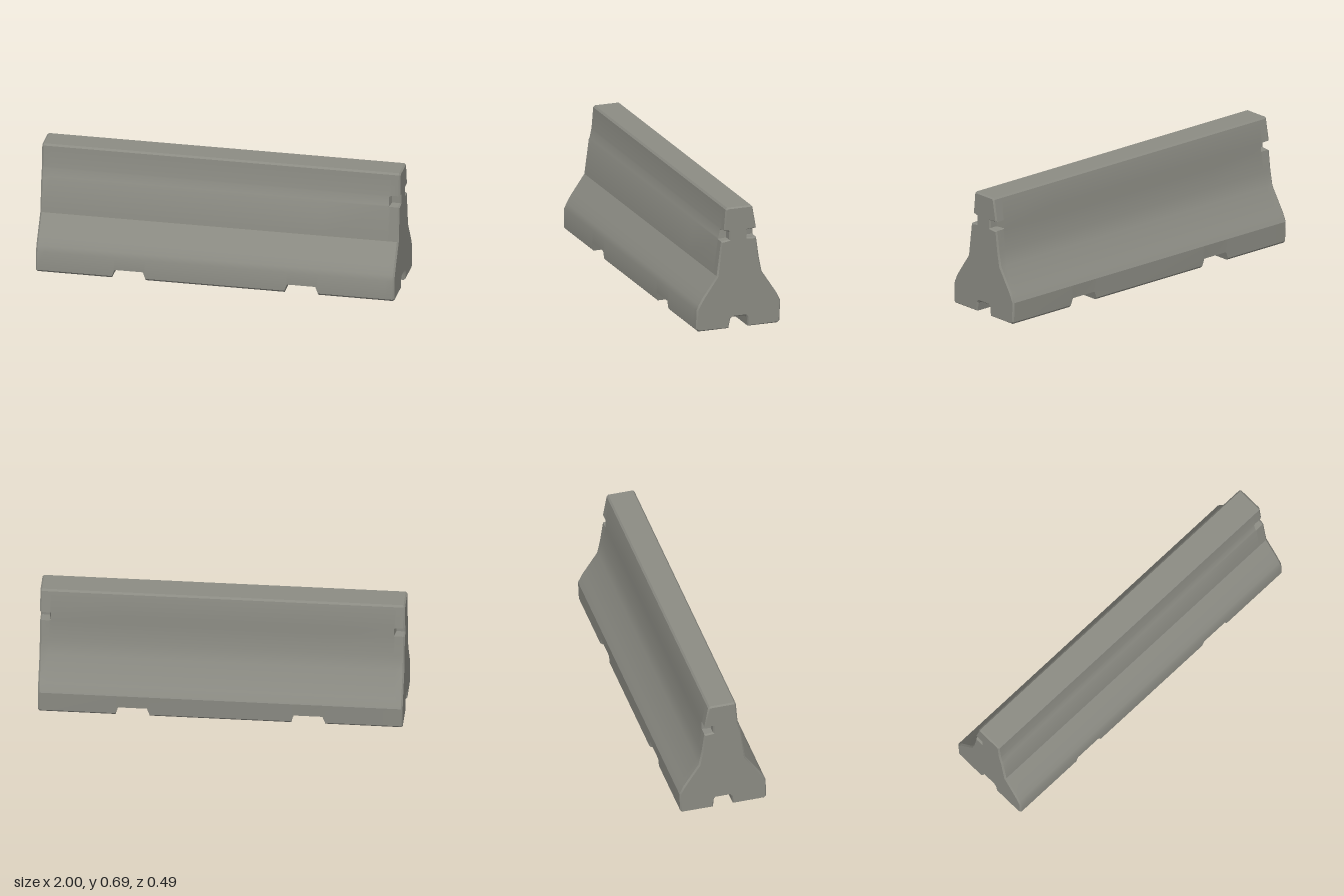
import * as THREE from 'three';
import { toCreasedNormals } from 'three/addons/utils/BufferGeometryUtils.js';

// Cross-section [z, y], counter-clockwise from the front edge of the drain channel.
// frontSlot / backSlot give the z of the lifting slot floor (null = no slot), foot raises the underside.
function section({ frontSlot = null, backSlot = null, foot = 0, inset = 0 }) {
  const f = frontSlot ?? 0.097, f2 = frontSlot ?? 0.087;
  const b = backSlot ?? -0.104, b2 = backSlot ?? -0.104;
  const pts = [
    [0.058, 0], [0.235, 0], [0.247, 0.012], [0.245, 0.12], [0.232, 0.15], [0.208, 0.19], [0.127, 0.305],
    [0.101, 0.5], [f, 0.507], [f2, 0.553], [0.085, 0.56],
    [0.075, 0.68], [0.066, 0.69], [-0.074, 0.69], [-0.083, 0.68],
    [-0.104, 0.557], [b, 0.553], [b2, 0.509], [-0.104, 0.505],
    [-0.12, 0.39], [-0.137, 0.305], [-0.222, 0.175], [-0.246, 0.125],
    [-0.241, 0.012], [-0.23, 0], [-0.055, 0],
    [-0.05, 0.05], [-0.042, 0.062], [0.038, 0.062], [0.048, 0.05],
  ].map(([z, y]) => new THREE.Vector2(z, Math.max(y, foot)));
  if (!inset) return pts;
  // Shrink along the averaged edge normals for the rounded ends
  return pts.map((p, i) => {
    const prev = pts[(i + pts.length - 1) % pts.length], next = pts[(i + 1) % pts.length];
    const t = p.clone().sub(prev).normalize().add(next.clone().sub(p).normalize()).normalize();
    return new THREE.Vector2(p.x - t.y * inset, p.y + t.x * inset);
  });
}

// Skin a row of cross-sections along x and cap both ends
function loft(stations) {
  const pos = [];
  const tri = (...v) => v.forEach(p => pos.push(p.x, p.y, p.z));
  const rings = stations.map(([x, opts]) => section(opts).map(p => new THREE.Vector3(x, p.y, p.x)));
  for (let s = 0; s < rings.length - 1; s++) {
    const a = rings[s], c = rings[s + 1], n = a.length;
    for (let i = 0; i < n; i++) {
      const j = (i + 1) % n;
      tri(a[i], c[i], c[j]);
      tri(a[i], c[j], a[j]);
    }
  }
  for (const [ring, flip] of [[rings[0], false], [rings[rings.length - 1], true]]) {
    const outline = ring.map(p => new THREE.Vector2(p.z, p.y));
    for (const [i, j, k] of THREE.ShapeUtils.triangulateShape(outline, [])) {
      if (flip) tri(ring[i], ring[k], ring[j]);
      else tri(ring[i], ring[j], ring[k]);
    }
  }
  const geo = new THREE.BufferGeometry();
  geo.setAttribute('position', new THREE.Float32BufferAttribute(pos, 3));
  return toCreasedNormals(geo, 0.4);
}

export function createModel() {
  const concrete = new THREE.MeshStandardMaterial({ color: 0x8b8b83 });
  concrete.name = 'concrete';

  const plain = {};
  const foot = { foot: 0.05 };
  const leftSlots = { frontSlot: 0.055, backSlot: -0.05 };
  const rightSlot = { backSlot: -0.055 };

  const barrier = new THREE.Mesh(loft([
    // end with a single slot at the back
    [-1, { ...rightSlot, inset: 0.008 }],
    [-0.991, rightSlot],
    [-0.95, rightSlot],
    [-0.94, plain],
    // forklift gaps across the underside
    [-0.575, plain], [-0.56, foot], [-0.402, foot], [-0.388, plain],
    [0.388, plain], [0.402, foot], [0.56, foot], [0.575, plain],
    // end with slots on both faces
    [0.94, plain],
    [0.95, leftSlots],
    [0.991, leftSlots],
    [1, { ...leftSlots, inset: 0.008 }],
  ]), concrete);
  barrier.name = 'barrierBody';

  const group = new THREE.Group();
  group.name = 'roadBarrier';
  group.add(barrier);
  return group;
}
